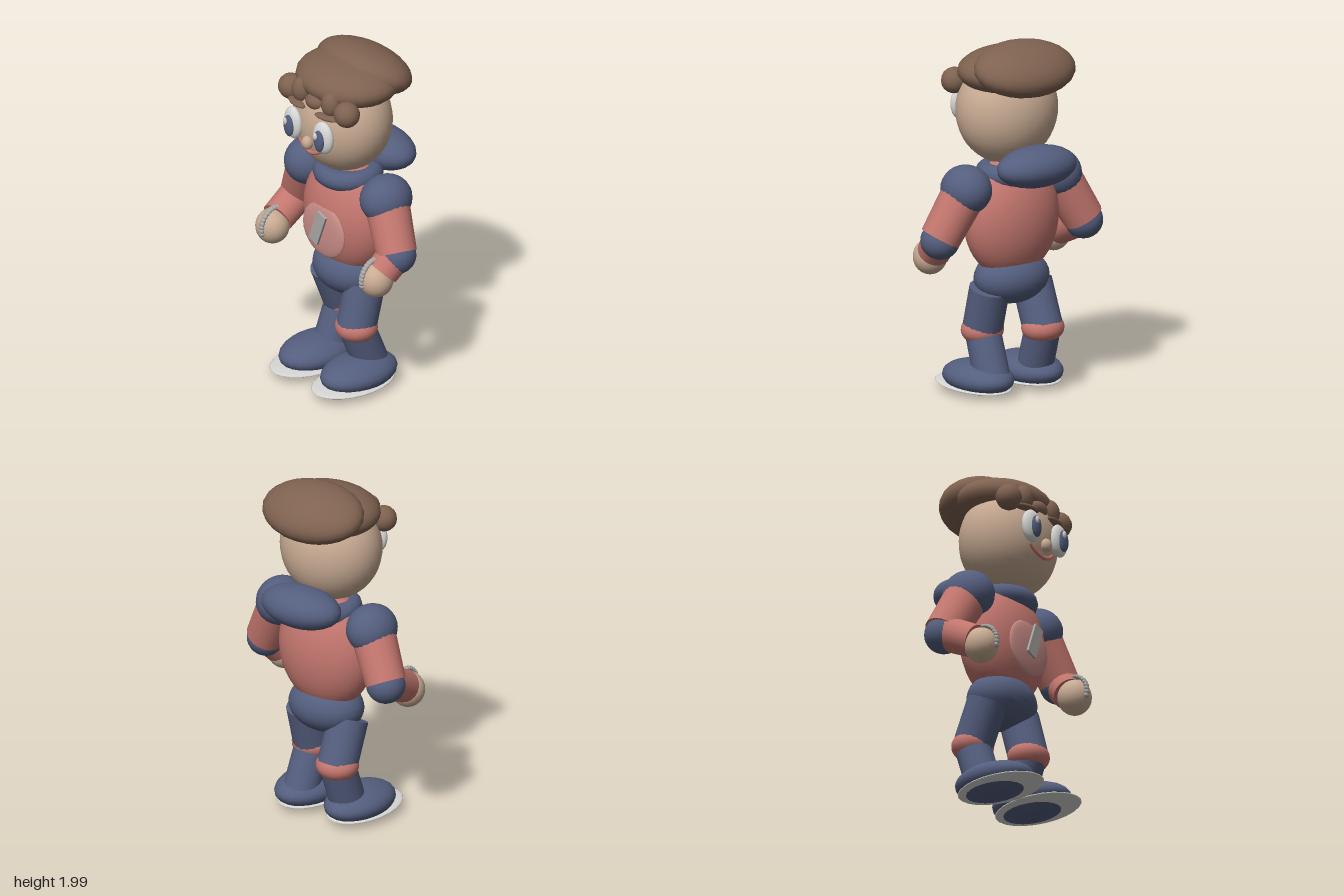
import * as THREE from 'three';

const mat = (name, color) => {
  const m = new THREE.MeshStandardMaterial({ color });
  m.name = name;
  return m;
};

export function createModel() {
  const hair = mat('brown hair', 0x7f6250);
  const skin = mat('skin', 0xc8ab93);
  const blue = mat('slate blue', 0x545e7e);
  const salmon = mat('salmon', 0xc4776f);
  const pink = mat('badge pink', 0xc98d88);
  const white = mat('off white', 0xd6d6d4);
  const silver = mat('silver', 0xaaa8a4);

  const model = new THREE.Group();
  model.name = 'figure';

  const add = (name, geometry, material, pos = [0, 0, 0], rot = [0, 0, 0]) => {
    const mesh = new THREE.Mesh(geometry, material);
    mesh.name = name;
    mesh.position.set(...pos);
    mesh.rotation.set(...rot);
    model.add(mesh);
    return mesh;
  };

  // Ellipsoid with given centre, radii and rotation
  const blob = (name, material, pos, radii, rot, w = 24, h = 16) =>
    add(name, new THREE.SphereGeometry(1, w, h).scale(...radii), material, pos, rot);

  // Closed cylinder between two points
  const limb = (name, material, a, b, ra, rb = ra) => {
    const p = new THREE.Vector3(...a), q = new THREE.Vector3(...b);
    const dir = q.clone().sub(p);
    const mesh = add(name, new THREE.CylinderGeometry(rb, ra, dir.length(), 20), material,
      p.clone().add(q).multiplyScalar(0.5).toArray());
    mesh.quaternion.setFromUnitVectors(new THREE.Vector3(0, 1, 0), dir.normalize());
  };

  // Head and hair
  blob('head', skin, [0, 1.6, 0.04], [0.295, 0.305, 0.258], [0, 0, 0], 32, 24);
  blob('hairFront', hair, [0, 1.83, 0], [0.312, 0.13, 0.27]);
  blob('hairBack', hair, [0, 1.857, -0.122], [0.315, 0.131, 0.215], [-0.36, 0, 0]);
  blob('middleCurl', hair, [0, 1.76, 0.245], [0.065, 0.045, 0.045], [0, 0, 0], 12, 8);

  // Face
  blob('nose', skin, [0, 1.525, 0.3], [0.034, 0.04, 0.032], [0, 0, 0], 12, 8);
  const smile = new THREE.CatmullRomCurve3([
    [-0.1, 1.51, 0.265], [-0.055, 1.475, 0.275], [0, 1.46, 0.278],
    [0.055, 1.475, 0.275], [0.1, 1.51, 0.265],
  ].map(p => new THREE.Vector3(...p)));
  add('mouth', new THREE.TubeGeometry(smile, 16, 0.012, 6), salmon);

  // Torso, collar and hood
  blob('torso', salmon, [0, 1.0, 0], [0.295, 0.345, 0.195], [0, 0, 0], 32, 24);
  add('collar', new THREE.TorusGeometry(0.138, 0.058, 12, 28), blue, [0, 1.252, 0], [Math.PI / 2, 0, 0]);
  blob('hood', blue, [0, 1.325, -0.23], [0.25, 0.115, 0.155]);
  blob('pelvis', blue, [0, 0.66, -0.003], [0.226, 0.15, 0.175]);

  // Chest badge
  blob('badge', pink, [0, 0.94, 0.178], [0.17, 0.16, 0.025], [0, 0, 0], 28, 12);
  add('badgeBar', new THREE.BoxGeometry(0.072, 0.2, 0.014), silver, [0, 0.97, 0.223], [0, 0, -0.36]);

  for (const s of [-1, 1]) {
    const side = s > 0 ? 'left' : 'right';

    // Fringe curls and brows
    blob(side + 'OuterCurl', hair, [s * 0.228, 1.757, 0.215], [0.075, 0.073, 0.072], [0, 0, 0], 14, 10);
    blob(side + 'InnerCurl', hair, [s * 0.12, 1.785, 0.235], [0.06, 0.075, 0.052], [0, 0, 0], 14, 10);
    blob(side + 'Brow', hair, [s * 0.125, 1.717, 0.262], [0.085, 0.017, 0.038], [0, s * 0.25, 0], 14, 8);

    // Eyes
    blob(side + 'Eye', white, [s * 0.123, 1.6, 0.293], [0.071, 0.096, 0.036], [0, s * 0.1, 0], 20, 14);
    blob(side + 'Iris', blue, [s * 0.123, 1.59, 0.327], [0.038, 0.064, 0.018], [0, 0, 0], 16, 12);
    blob(side + 'Glint', white, [s * 0.123 - 0.013, 1.62, 0.343], [0.015, 0.022, 0.009], [0, 0, 0], 10, 8);

    // Arms: the right elbow swings further back
    const shoulder = [s * 0.31, 1.195, 0];
    const elbow = [s * 0.452, 0.93, s > 0 ? 0.05 : -0.06];
    const hand = [s * 0.425, 0.8, 0.175];
    blob(side + 'Shoulder', blue, shoulder, [0.137, 0.137, 0.152]);
    limb(side + 'UpperArm', salmon, shoulder, elbow, 0.125, 0.113);
    blob(side + 'Elbow', blue, [elbow[0], elbow[1] - 0.012, elbow[2]], [0.108, 0.105, 0.11]);
    limb(side + 'Forearm', salmon, elbow, [s * 0.428, 0.835, 0.135], 0.098, 0.093);
    blob(side + 'Hand', skin, hand, [0.095, 0.1, 0.095]);

    // Ribbed strip arching over the hand
    for (let i = 0; i < 11; i++) {
      const a = 1.75 - i * 0.2;
      blob(side + 'StripRib', silver,
        [s * 0.41, 0.81 + Math.sin(a) * 0.108, 0.175 + Math.cos(a) * 0.096],
        [0.019, 0.016, 0.013], [-a, 0, 0], 10, 6);
    }

    // Legs: the left knee is forward, the right one back
    const knee = [s * 0.145, 0.365, s > 0 ? 0.07 : -0.095];
    limb(side + 'Thigh', blue, [s * 0.145, 0.61, 0.005], knee, 0.112);
    blob(side + 'Knee', salmon, knee, [0.122, 0.085, 0.115]);
    limb(side + 'Shin', blue, knee, [s * 0.155, 0.1, s > 0 ? -0.035 : -0.005], 0.1, 0.102);

    // Shoes
    blob(side + 'Shoe', blue, [s * 0.17, 0.1, 0.075], [0.167, 0.093, 0.243]);
    blob(side + 'Sole', white, [s * 0.17, 0.05, 0.118], [0.172, 0.018, 0.268], [-0.02, 0, 0]);
  }

  return model;
}
